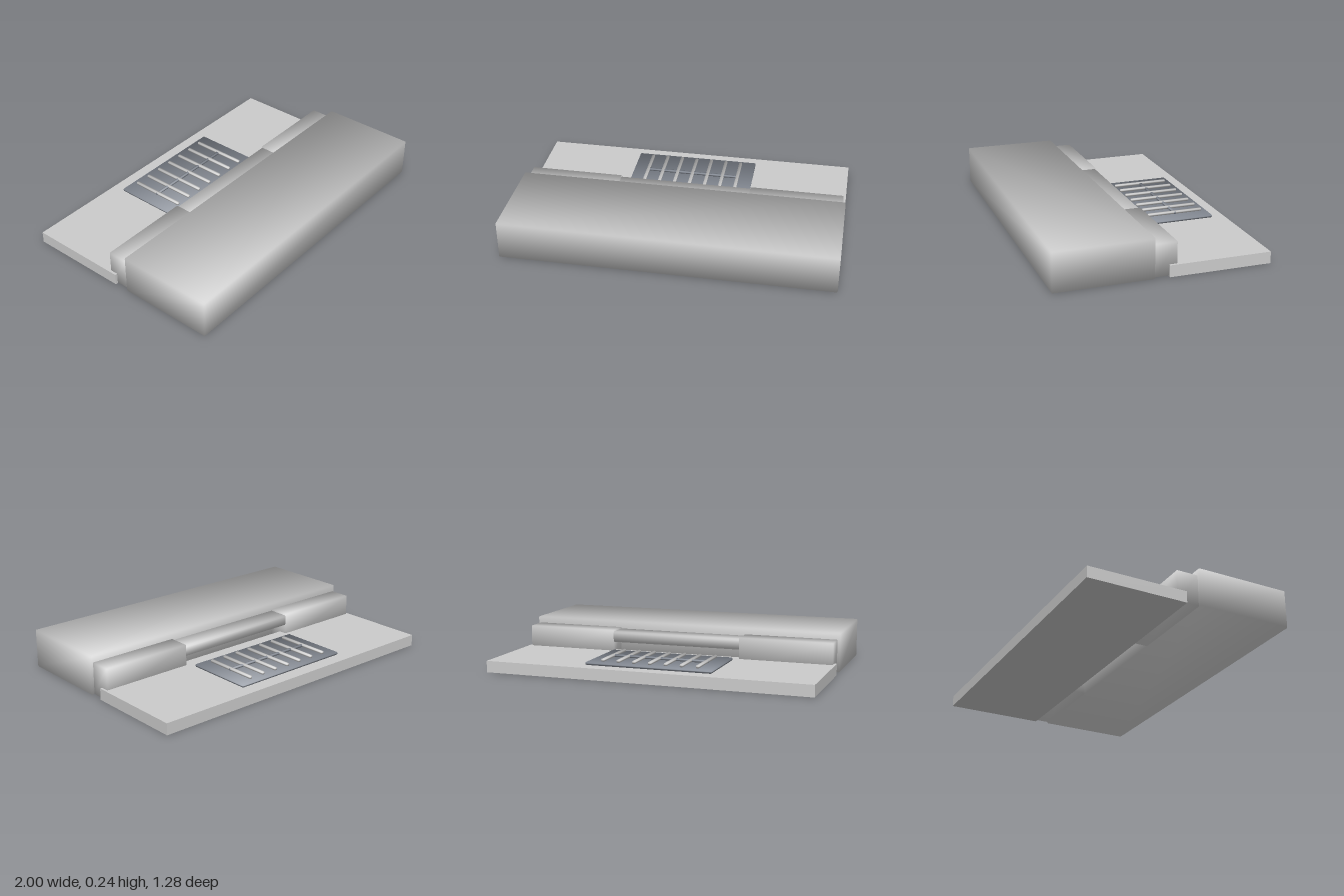
import * as THREE from 'three';
import { RoundedBoxGeometry } from 'three/addons/geometries/RoundedBoxGeometry.js';

const grey = new THREE.MeshStandardMaterial({ color: 0xcccccc });
const slate = new THREE.MeshStandardMaterial({ color: 0x8a909a });

// Box spanning [min, max] per axis, with soft edges and shading smoothed across its corners
function softBox(name, [x0, x1], [y0, y1], [z0, z1], radius, material = grey) {
  const geometry = new RoundedBoxGeometry(x1 - x0, y1 - y0, z1 - z0, 1, radius);
  const p = geometry.attributes.position;
  const n = new THREE.Vector3();
  for (let i = 0; i < p.count; i++) {
    n.set(Math.sign(p.getX(i)), Math.sign(p.getY(i)), Math.sign(p.getZ(i))).normalize();
    geometry.attributes.normal.setXYZ(i, n.x, n.y, n.z);
  }
  const mesh = new THREE.Mesh(geometry, material);
  mesh.name = name;
  mesh.position.set((x0 + x1) / 2, (y0 + y1) / 2, (z0 + z1) / 2);
  return mesh;
}

export function createModel() {
  const model = new THREE.Group();
  model.name = 'steppedBase';

  // Tall block along the front
  model.add(softBox('frontBlock', [-1, 1], [0, 0.24], [0.055, 0.64], 0.006));

  // Low crisp slab at the back
  const slab = new THREE.Mesh(new THREE.BoxGeometry(2, 0.07, 0.61), grey);
  slab.name = 'backSlab';
  slab.position.set(0, 0.035, -0.335);
  model.add(slab);

  // Step between them: two full-height blocks bridged by a raised bar
  model.add(softBox('rightStep', [-0.985, -0.41], [0.003, 0.2], [-0.08, 0.056], 0.005));
  model.add(softBox('leftStep', [0.41, 0.985], [0.003, 0.2], [-0.08, 0.056], 0.005));
  model.add(softBox('bridgeBar', [-0.415, 0.415], [0.125, 0.192], [-0.078, 0.056], 0.008));

  // Grate lying on the slab
  const grate = new THREE.Group();
  grate.name = 'grate';
  grate.add(softBox('gratePlate', [-0.39, 0.39], [0.07, 0.089], [-0.56, -0.135], 0.007, slate));
  for (let i = -3; i <= 3; i++) {
    const x = i * 0.098;
    grate.add(softBox('grateRod', [x - 0.01, x + 0.01], [0.088, 0.107], [-0.525, -0.175], 0.006));
  }
  grate.add(softBox('grateCrossBar', [-0.305, 0.305], [0.088, 0.104], [-0.358, -0.342], 0.004, slate));
  model.add(grate);

  return model;
}
